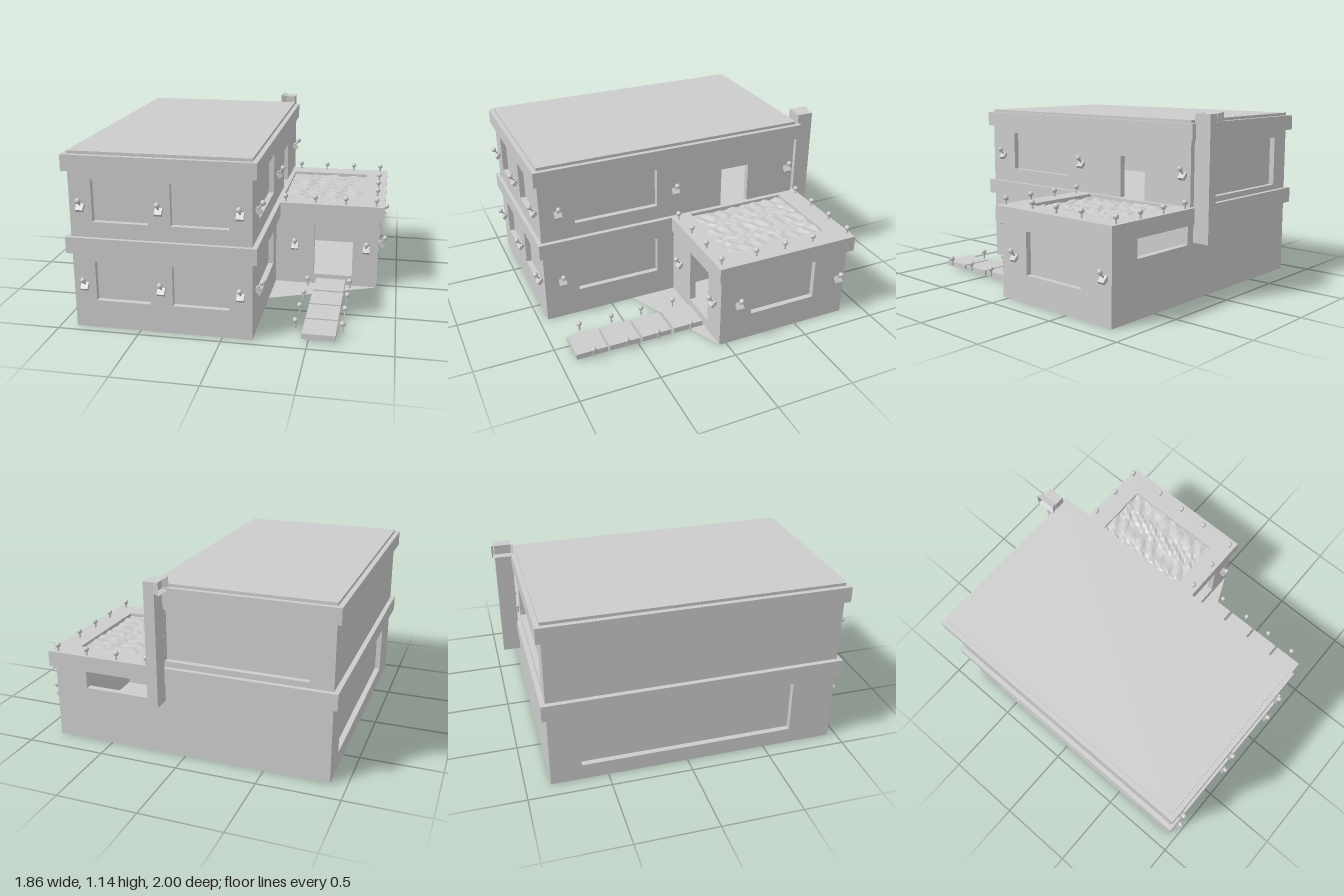
import * as THREE from 'three';

const mat = new THREE.MeshStandardMaterial({ color: 0xcccccc, flatShading: true });
const smooth = new THREE.MeshStandardMaterial({ color: 0xcccccc });
const thin = new THREE.MeshStandardMaterial({ color: 0xcccccc, flatShading: true, side: THREE.DoubleSide });

function add(parent, name, geometry, material = mat) {
  const mesh = new THREE.Mesh(geometry, material);
  mesh.name = name;
  parent.add(mesh);
  return mesh;
}

// Box given by its limits on each axis
function block(parent, name, x0, x1, y0, y1, z0, z1) {
  const mesh = add(parent, name, new THREE.BoxGeometry(x1 - x0, y1 - y0, z1 - z0));
  mesh.position.set((x0 + x1) / 2, (y0 + y1) / 2, (z0 + z1) / 2);
  return mesh;
}

function rect(target, x0, x1, y0, y1) {
  return target.moveTo(x0, y0).lineTo(x1, y0).lineTo(x1, y1).lineTo(x0, y1).closePath();
}

// Wall facing local +z; openings are [u0, u1, y0, y1, open]; closed ones get a recessed pane
const THICK = 0.04;
function wall(parent, name, pos, turn, u0, u1, height, openings = []) {
  const group = new THREE.Group();
  group.name = name;
  group.position.set(...pos);
  group.rotation.y = turn;
  const shape = rect(new THREE.Shape(), u0, u1, 0, height);
  for (const [a, b, c, d, open] of openings) {
    shape.holes.push(rect(new THREE.Path(), a, b, c, d));
    if (!open) block(group, 'windowPane', a - 0.01, b + 0.01, c - 0.01, d + 0.01, -THICK - 0.01, -THICK + 0.005);
  }
  const geo = new THREE.ExtrudeGeometry(shape, { depth: THICK, bevelEnabled: false });
  add(group, 'wallPanel', geo.translate(0, 0, -THICK));
  parent.add(group);
}

function ball(parent, x, y, z) {
  add(parent, 'bulb', new THREE.SphereGeometry(0.017, 12, 8), smooth).position.set(x, y, z);
}

// Short post lamp standing at (x, y, z)
function postLamp(parent, x, y, z) {
  const lamp = new THREE.Group();
  lamp.name = 'postLamp';
  lamp.position.set(x, y, z);
  add(lamp, 'post', new THREE.CylinderGeometry(0.006, 0.006, 0.045, 8)).position.y = 0.02;
  ball(lamp, 0, 0.048, 0);
  parent.add(lamp);
}

// Wall lamp facing local +z: tilted housing, arm and bulb
function wallLamp(parent, x, y, z, turn) {
  const lamp = new THREE.Group();
  lamp.name = 'wallLamp';
  lamp.position.set(x, y, z);
  lamp.rotation.y = turn;
  const housing = add(lamp, 'housing', new THREE.BoxGeometry(0.045, 0.045, 0.022));
  housing.position.set(0, 0, 0.014);
  housing.rotation.x = -Math.PI / 4;
  const arm = add(lamp, 'arm', new THREE.CylinderGeometry(0.006, 0.006, 0.05, 8));
  arm.position.set(0, 0.03, 0.027);
  arm.rotation.x = Math.PI / 4;
  ball(lamp, 0, 0.048, 0.04);
  parent.add(lamp);
}

export function createModel() {
  const house = new THREE.Group();
  house.name = 'house';
  const Q = Math.PI / 2;

  // Two-storey main block
  const frontWindows = [];
  for (const [a, b] of [[-0.765, -0.43], [-0.295, 0.045]])
    for (const [c, d] of [[0.175, 0.425], [0.67, 0.925]]) frontWindows.push([a, b, c, d]);
  wall(house, 'mainFrontWall', [0, 0, 0.945], 0, -0.9, 0.18, 0.98, frontWindows);
  wall(house, 'mainLeftWall', [0.18, 0, 0], Q, -0.945, 0.85, 0.98, [
    [-0.72, -0.165, 0.175, 0.425], [-0.72, -0.165, 0.67, 0.93], [0.3, 0.5, 0.575, 0.84, true]]);
  wall(house, 'mainBackWall', [0, 0, -0.85], Math.PI, -0.18, 0.9, 0.98, [[-0.12, 0.76, 0.61, 0.93]]);
  wall(house, 'mainRightWall', [-0.9, 0, 0], -Q, -0.85, 0.945, 0.98, [[-0.66, 0.67, 0.1, 0.44]]);
  block(house, 'middleBand', -0.93, 0.21, 0.475, 0.575, -0.88, 0.97);
  block(house, 'roofBand', -0.93, 0.21, 0.975, 1.072, -0.88, 0.97);
  block(house, 'roofTop', -0.9, 0.18, 1.07, 1.09, -0.85, 0.94);

  // Single-storey wing
  wall(house, 'wingFrontWall', [0, 0, 0.045], 0, 0.18, 0.87, 0.48, [[0.44, 0.7, 0.07, 0.43, true]]);
  wall(house, 'wingLeftWall', [0.87, 0, 0], Q, -0.045, 0.85, 0.48, [[0.17, 0.62, 0.175, 0.44]]);
  wall(house, 'wingBackWall', [0, 0, -0.85], Math.PI, -0.87, -0.18, 0.48, [[-0.66, -0.2, 0.35, 0.475, true]]);

  // Wing roof with a pool cut into it
  const roof = rect(new THREE.Shape(), 0.19, 0.9, -0.07, 0.88);
  roof.holes.push(rect(new THREE.Path(), 0.211, 0.75, 0.065, 0.74));
  const roofGeo = new THREE.ExtrudeGeometry(roof, { depth: 0.1, bevelEnabled: false });
  add(house, 'wingRoof', roofGeo.rotateX(-Q)).position.y = 0.475;

  // Rippled pool surface
  const water = new THREE.PlaneGeometry(0.54, 0.675, 22, 28).rotateX(-Q);
  const p = water.attributes.position;
  for (let i = 0; i < p.count; i++) {
    const x = p.getX(i), z = p.getZ(i);
    p.setY(i, 0.004 * Math.sin(47 * x + 31 * z + 2 * Math.sin(23 * z)) + 0.004 * Math.sin(71 * z - 53 * x + 3 * Math.sin(29 * x)));
  }
  add(house, 'poolWater', water, thin).position.set(0.48, 0.555, -0.4025);

  // Ground plate with a slanted corner by the door
  const plate = new THREE.Shape([[-0.9, -0.945], [0.18, -0.945], [0.18, -0.345], [0.87, -0.045], [0.87, 0.85], [-0.9, 0.85]]
    .map(([x, y]) => new THREE.Vector2(x, y)));
  add(house, 'groundPlate', new THREE.ShapeGeometry(plate).rotateX(-Q), thin).position.y = 0.001;

  // Path slabs and their lamps
  for (const [z0, z1] of [[0.06, 0.26], [0.28, 0.475], [0.49, 0.69], [0.705, 0.905]])
    block(house, 'pathSlab', 0.46, 0.66, 0.012, 0.047, z0, z1);
  for (const z of [0.16, 0.385, 0.59, 0.805])
    for (const x of [0.413, 0.693]) postLamp(house, x, 0.034, z);

  // Roof edge lamps
  for (const x of [0.24, 0.44, 0.643, 0.843])
    for (const z of [-0.855, 0.037]) postLamp(house, x, 0.567, z);
  for (const z of [-0.6, -0.4, -0.2]) postLamp(house, 0.843, 0.567, z);

  // Wall lamps
  for (const y of [0.268, 0.758]) {
    for (const x of [-0.83, -0.36, 0.112]) wallLamp(house, x, y, 0.945, 0);
    wallLamp(house, 0.18, y, 0.83, Q);
  }
  for (const z of [0.037, -0.8]) wallLamp(house, 0.18, 0.758, z, Q);
  for (const x of [0.31, 0.79]) wallLamp(house, x, 0.268, 0.045, 0);
  for (const z of [-0.078, -0.8]) wallLamp(house, 0.87, 0.268, z, Q);

  // Chimney with a flared side outlet
  block(house, 'chimneyShaft', 0.11, 0.176, 0.365, 1.13, -0.98, -0.872);
  const R = Math.SQRT1_2;
  const hood = new THREE.CylinderGeometry(R, R * 0.8, 1, 4, 1, true).rotateY(Math.PI / 4).rotateZ(Q);
  const outlet = add(house, 'chimneyOutlet', hood, thin);
  outlet.scale.set(0.037, 0.08, 0.135);
  outlet.position.set(0.0925, 1.1, -0.9325);
  return house;
}
